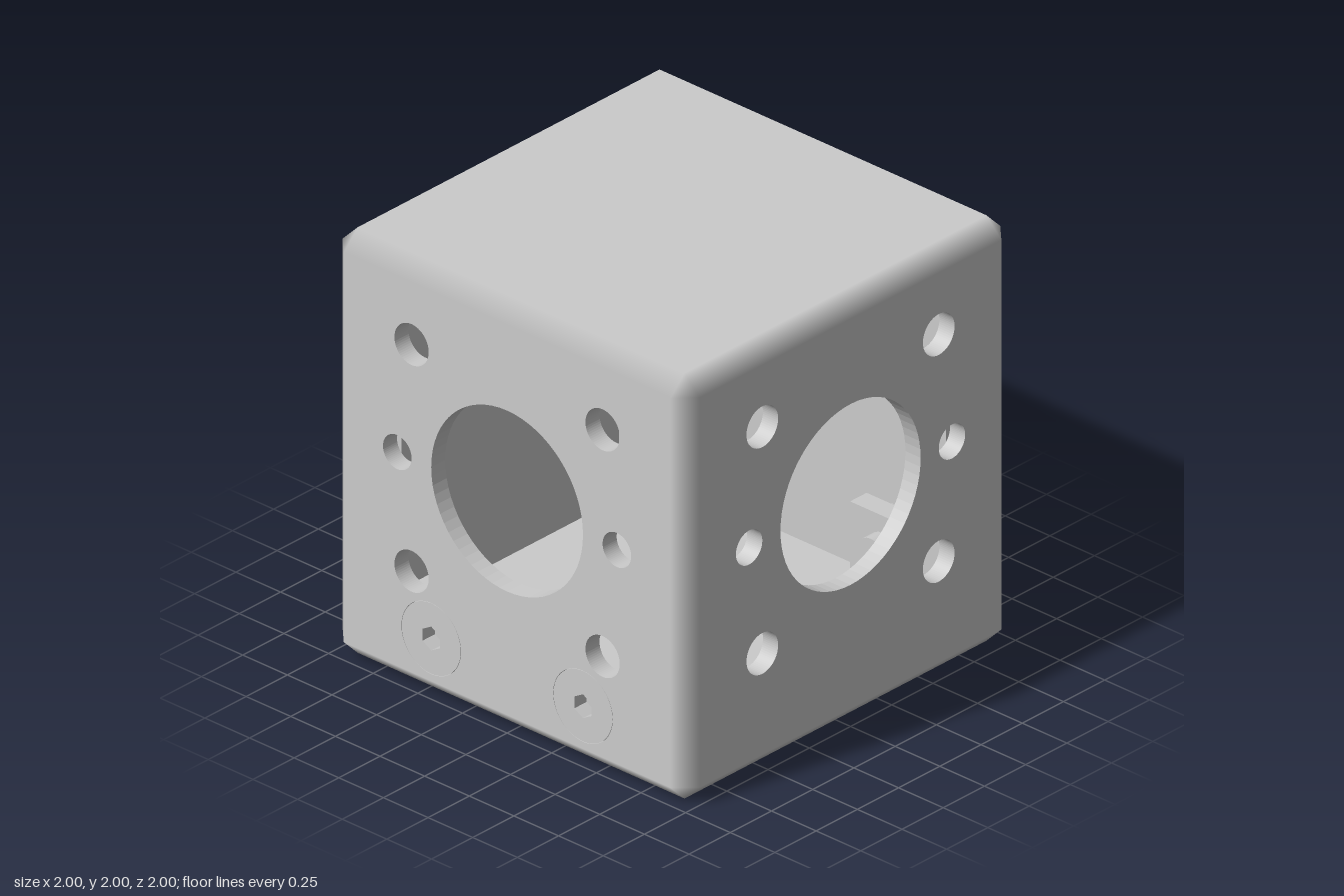
import * as THREE from 'three';

const IN = 0.915;            // inner plane of the walls and start of the chamfers
const WALL = 1 - IN;
const mat = new THREE.MeshStandardMaterial({ color: 0xcccccc });

// Add a named mesh to a parent
function part(parent, name, geo, x = 0, y = 0, z = 0) {
  const m = new THREE.Mesh(geo, mat);
  m.name = name;
  m.position.set(x, y, z);
  parent.add(m);
  return m;
}

function circlePath(x, y, r) {
  return new THREE.Path().absarc(x, y, r, 0, Math.PI * 2, true);
}

// Square wall plate with round holes [x, y, r], facing +z
function panelGeometry(holes) {
  const s = new THREE.Shape();
  s.moveTo(-IN, -IN).lineTo(IN, -IN).lineTo(IN, IN).lineTo(-IN, IN).closePath();
  holes.forEach(([x, y, r]) => s.holes.push(circlePath(x, y, r)));
  return new THREE.ExtrudeGeometry(s, { depth: WALL, bevelEnabled: false, curveSegments: 32 })
    .translate(0, 0, IN);
}

// Chamfered edges and corners with soft normals; keep() picks the ones wanted
function chamferGeometry(keep) {
  const pos = [], nor = [];
  const vert = (axis, signs) => {
    const p = new THREE.Vector3(...signs.map((s) => s * IN)).setComponent(axis, signs[axis]);
    return { p, n: new THREE.Vector3().setComponent(axis, signs[axis]) };
  };
  const tri = (a, b, c) => {
    const face = b.p.clone().sub(a.p).cross(c.p.clone().sub(a.p));
    const list = face.dot(a.p) > 0 ? [a, b, c] : [a, c, b];
    list.forEach((v) => { pos.push(...v.p.toArray()); nor.push(...v.n.toArray()); });
  };
  const signs = [-1, 1];
  for (let c = 0; c < 3; c++) {
    const a = (c + 1) % 3, b = (c + 2) % 3;
    for (const sa of signs) for (const sb of signs) {
      const lo = [], hi = [];
      lo[a] = hi[a] = sa; lo[b] = hi[b] = sb; lo[c] = -1; hi[c] = 1;
      const bottom = (a === 1 && sa < 0) || (b === 1 && sb < 0);
      if (!keep(bottom)) continue;
      const q = [vert(a, lo), vert(a, hi), vert(b, hi), vert(b, lo)];
      tri(q[0], q[1], q[2]);
      tri(q[0], q[2], q[3]);
    }
  }
  for (const x of signs) for (const y of signs) for (const z of signs) {
    if (keep(y < 0)) tri(...[0, 1, 2].map((k) => vert(k, [x, y, z])));
  }
  const g = new THREE.BufferGeometry();
  g.setAttribute('position', new THREE.Float32BufferAttribute(pos, 3));
  g.setAttribute('normal', new THREE.Float32BufferAttribute(nor, 3));
  return g;
}

// Flush screw with a hexagonal socket, facing +z
function makeScrew(x, y) {
  const g = new THREE.Group();
  g.name = 'screw';
  const head = new THREE.Shape().absarc(0, 0, 0.165, 0, Math.PI * 2, false);
  const hex = new THREE.Path();
  for (let i = 0; i < 6; i++) {
    const a = Math.PI / 2 - i * Math.PI / 3;
    hex[i ? 'lineTo' : 'moveTo'](0.056 * Math.cos(a), 0.056 * Math.sin(a));
  }
  hex.closePath();
  head.holes.push(hex);
  part(g, 'screwHead', new THREE.ExtrudeGeometry(head,
    { depth: WALL, bevelEnabled: false, curveSegments: 32 }), 0, 0, IN);
  part(g, 'screwShaft', new THREE.CylinderGeometry(0.08, 0.08, 0.18, 24).rotateX(Math.PI / 2), 0, 0, IN - 0.08);
  g.position.set(x, y, 0);
  return g;
}

export function createModel() {
  const root = new THREE.Group();
  root.name = 'housing';
  const cube = new THREE.Group();
  cube.name = 'case';
  cube.position.y = 1;
  root.add(cube);

  // Window with its ring of six smaller holes
  const windowHoles = [[0, 0.09, 0.425]];
  const screwX = 0.425, screwY = -0.715;
  const screwHoles = [];
  for (const s of [-1, 1]) {
    windowHoles.push([s * 0.535, 0.625, 0.096], [s * 0.615, 0.09, 0.08], [s * 0.535, -0.44, 0.096]);
    screwHoles.push([s * screwX, screwY, 0.167]);
  }

  // Walls
  const walls = [
    ['frontWall', [...windowHoles, ...screwHoles], 0, 0],
    ['leftWall', windowHoles, 0, Math.PI / 2],
    ['backWall', screwHoles, 0, Math.PI],
    ['rightWall', [], 0, -Math.PI / 2],
    ['topWall', [], -Math.PI / 2, 0],
    ['bottomLid', [[0, 0, 0.1]], Math.PI / 2, 0],
  ];
  for (const [name, holes, rx, ry] of walls) {
    part(cube, name, panelGeometry(holes)).rotation.set(rx, ry, 0);
  }
  part(cube, 'bodyChamfers', chamferGeometry((bottom) => !bottom));
  part(cube, 'lidChamfers', chamferGeometry((bottom) => bottom));

  // Posts inside the four vertical corners
  const post = IN - 0.67, mid = (IN + 0.67) / 2;
  for (const x of [-mid, mid]) for (const z of [-mid, mid]) {
    part(cube, 'cornerPost', new THREE.BoxGeometry(post, 2 * IN, post), x, 0, z);
  }

  // Screws and the lid tabs they hold, front and back
  for (const turn of [0, Math.PI]) {
    const side = new THREE.Group();
    side.name = turn ? 'backFastening' : 'frontFastening';
    side.rotation.y = turn;
    for (const x of [-screwX, screwX]) {
      side.add(makeScrew(x, screwY));
      part(side, 'lidTab', new THREE.BoxGeometry(0.36, 0.36, 0.1), x, -IN + 0.18, IN - 0.05);
    }
    cube.add(side);
  }
  return root;
}
